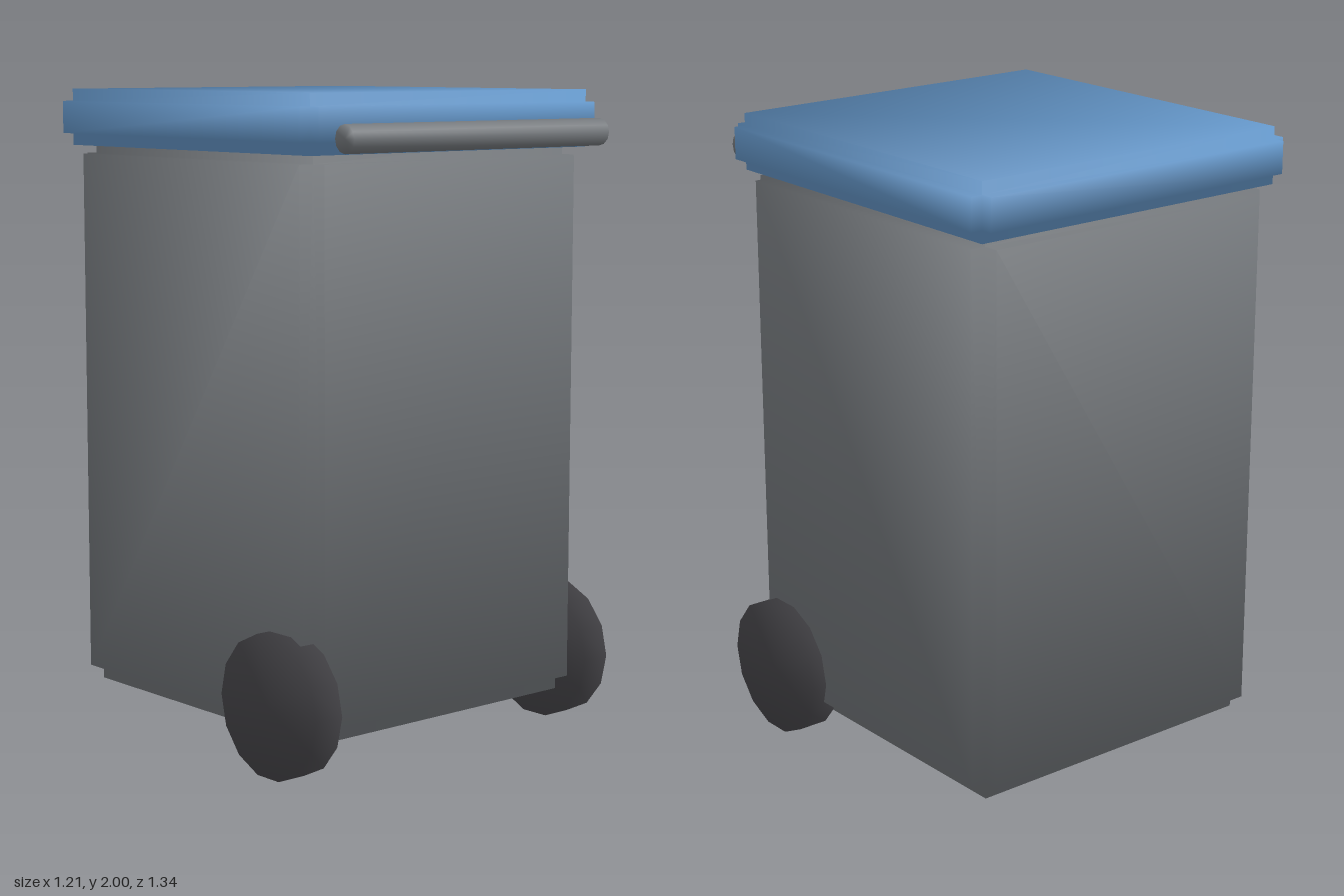
import * as THREE from 'three';
import { mergeVertices } from 'three/addons/utils/BufferGeometryUtils.js';

// Box whose six faces are each pushed out by r, leaving stepped edges; soft normals point to the corners
function steppedBox(min, max, r) {
  const pos = [], nor = [], idx = [];
  const core = (s) => s.map((v, i) => (v > 0 ? max[i] : min[i]));
  const quad = (corners, outward, facing) => {
    const base = pos.length / 3;
    const pts = corners.map((s, k) => new THREE.Vector3(...core(s)).add(outward[k]));
    corners.forEach((s, k) => {
      pos.push(...pts[k].toArray());
      nor.push(...s.map((v) => v / Math.sqrt(3)));
    });
    const n = pts[1].clone().sub(pts[0]).cross(pts[2].clone().sub(pts[0]));
    const order = n.dot(facing) > 0 ? [0, 1, 2, 0, 2, 3] : [0, 2, 1, 0, 3, 2];
    idx.push(...order.map((i) => i + base));
  };
  const zero = new THREE.Vector3();
  for (let a = 0; a < 3; a++) {
    for (const side of [-1, 1]) {
      const out = new THREE.Vector3().setComponent(a, side * r);
      const ring = [[-1, -1], [1, -1], [1, 1], [-1, 1]].map(([u, v]) => {
        const s = [0, 0, 0];
        s[a] = side;
        s[(a + 1) % 3] = u;
        s[(a + 2) % 3] = v;
        return s;
      });
      // raised panel
      quad(ring, [out, out, out, out], out);
      // its four narrow sides
      for (let k = 0; k < 4; k++) {
        const p = ring[k], q = ring[(k + 1) % 4];
        const facing = new THREE.Vector3(...p).add(new THREE.Vector3(...q)).setComponent(a, 0);
        quad([p, q, q, p], [zero, zero, out, out], facing);
      }
    }
  }
  const g = new THREE.BufferGeometry();
  g.setAttribute('position', new THREE.Float32BufferAttribute(pos, 3));
  g.setAttribute('normal', new THREE.Float32BufferAttribute(nor, 3));
  g.setIndex(idx);
  return g;
}

// Cylinder lying along x with normals shared across its rims
function softCylinder(radius, length, sides) {
  const g = new THREE.CylinderGeometry(radius, radius, length, sides).rotateZ(Math.PI / 2);
  g.deleteAttribute('normal');
  g.deleteAttribute('uv');
  const merged = mergeVertices(g, 1e-4);
  merged.computeVertexNormals();
  return merged;
}

export function createModel() {
  const material = (name, color) => {
    const m = new THREE.MeshStandardMaterial({ color });
    m.name = name;
    return m;
  };
  const grey = material('bin grey', 0x74787c);
  const blue = material('lid blue', 0x6699cc);
  const black = material('wheel black', 0x454448);

  const model = new THREE.Group();
  model.name = 'wheeledBin';
  const add = (name, geometry, mat, x = 0, y = 0, z = 0) => {
    const mesh = new THREE.Mesh(geometry, mat);
    mesh.name = name;
    mesh.position.set(x, y, z);
    model.add(mesh);
  };

  // container and lid
  add('body', steppedBox([-0.507, 0.15, -0.578], [0.507, 1.8, 0.478], 0.051), grey);
  add('lid', steppedBox([-0.559, 1.864, -0.63], [0.559, 1.964, 0.526], 0.038), blue);

  // push bar
  add('handle', softCylinder(0.042, 1.03, 12), grey, 0, 1.875, 0.625);

  // wheels
  const wheel = softCylinder(0.219, 0.099, 14);
  add('leftWheel', wheel, black, 0.557, 0.2135, 0.387);
  add('rightWheel', wheel, black, -0.557, 0.2135, 0.387);

  return model;
}
